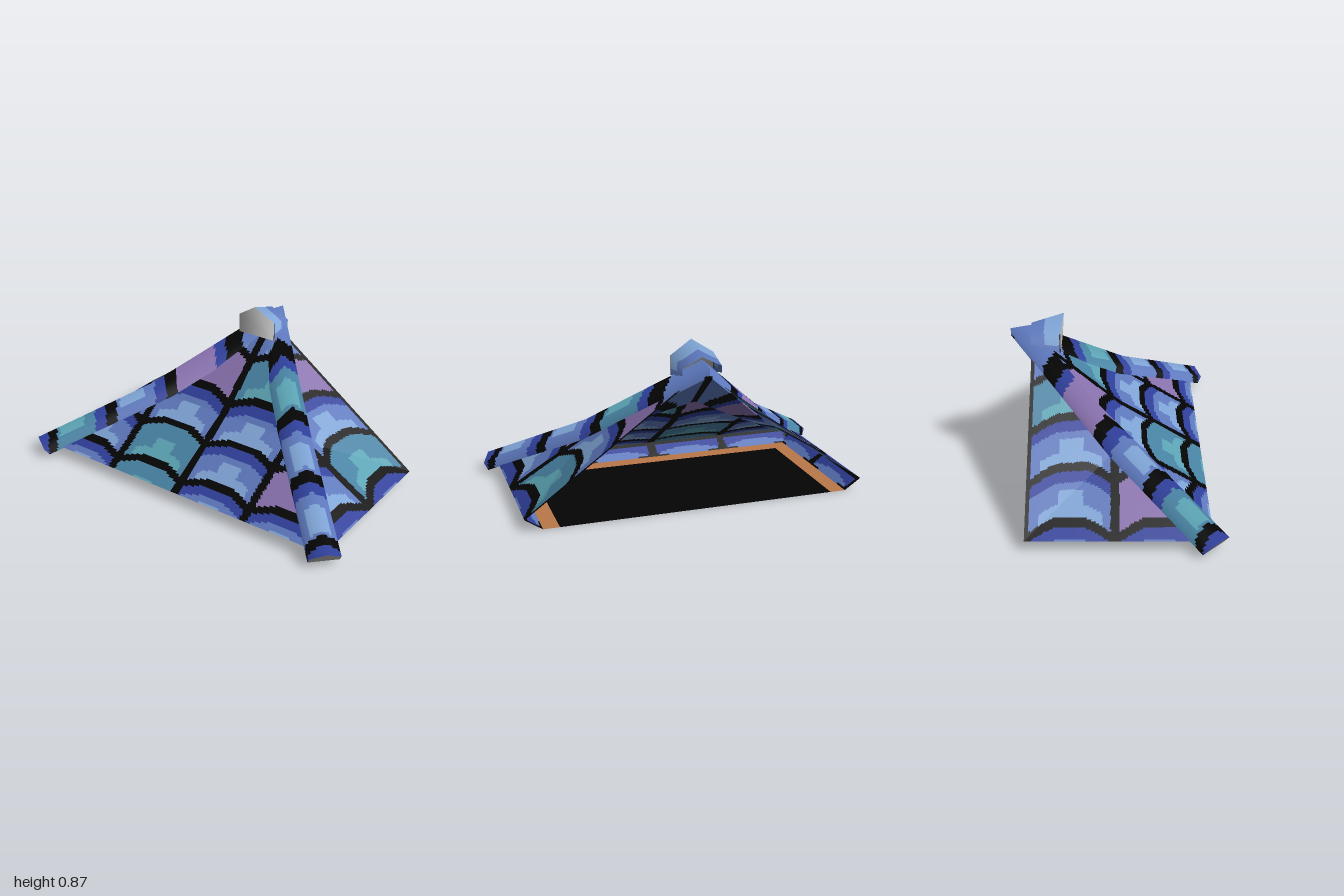
import * as THREE from 'three';

const mat = (name, color) => new THREE.MeshStandardMaterial({ name, color, side: THREE.DoubleSide });
const V = (x, y, z) => new THREE.Vector3(x, y, z);

export function createModel() {
  const M = {
    black: mat('grout black', 0x040405),
    navy: mat('navy glaze', 0x2f3f9a),
    blue: mat('blue glaze', 0x5d78bc),
    lightBlue: mat('light blue glaze', 0x7ea3d4),
    teal: mat('teal glaze', 0x4882a2),
    lightTeal: mat('light teal glaze', 0x5ba3b3),
    purple: mat('purple glaze', 0x8871ad),
    brown: mat('brown timber', 0xbb784a),
    gray: mat('gray mortar', 0xb4b4b4),
  };
  const palette = Object.values(M);
  const glazes = {
    b: [M.navy, M.blue, M.lightBlue],
    t: [M.teal, M.teal, M.lightTeal],
    p: [M.purple, M.purple, M.purple],
  };
  const model = new THREE.Group();
  model.name = 'hipRoofEnd';

  // Painted surface: four-cornered patches cut into small cells, each cell in one flat colour.
  // Corner normals n are optional and give a softly rounded look.
  const blend = ([a, b, c, d], u, v) => a.clone().lerp(b, u).lerp(d.clone().lerp(c, u), v);
  function painted(name, patches, colorAt, parent = model) {
    const bins = palette.map(() => ({ pos: [], nor: [] }));
    for (const { c, n, nu, nv } of patches) {
      for (let i = 0; i < nu; i++) for (let j = 0; j < nv; j++) {
        const uv = [[i, j], [i + 1, j], [i + 1, j + 1], [i, j + 1]].map(([a, b]) => [a / nu, b / nv]);
        const p = uv.map(([u, v]) => blend(c, u, v));
        const bin = bins[palette.indexOf(colorAt(blend(c, (i + 0.5) / nu, (j + 0.5) / nv)))];
        for (let tri of [[0, 1, 2], [0, 2, 3]]) {
          const face = p[tri[1]].clone().sub(p[tri[0]]).cross(p[tri[2]].clone().sub(p[tri[0]]));
          if (face.length() < 1e-9) continue;
          face.normalize();
          if (n && face.dot(n[0]) < 0) tri = [tri[0], tri[2], tri[1]];
          for (const k of tri) {
            bin.pos.push(...p[k].toArray());
            bin.nor.push(...(n ? blend(n, ...uv[k]).normalize() : face).toArray());
          }
        }
      }
    }
    const geo = new THREE.BufferGeometry();
    const used = [];
    let start = 0;
    bins.forEach(({ pos }, k) => {
      if (!pos.length) return;
      geo.addGroup(start, pos.length / 3, used.length);
      used.push(palette[k]);
      start += pos.length / 3;
    });
    geo.setAttribute('position', new THREE.Float32BufferAttribute(bins.flatMap(b => b.pos), 3));
    geo.setAttribute('normal', new THREE.Float32BufferAttribute(bins.flatMap(b => b.nor), 3));
    const mesh = new THREE.Mesh(geo, used);
    mesh.name = name;
    parent.add(mesh);
  }

  // Arched tile pattern: columns along one axis, rows along another; one glaze letter per tile
  const tiles = ({ across, up, start, pitch, rows, firstCol }) => p => {
    const col = p[across] / 0.44, f = col - Math.floor(col), m = Math.abs(f - 0.5);
    const arch = Math.min(1, 1.15 * Math.sin(Math.PI * f));
    if (f < 0.05 || f > 0.95) return M.black;
    if (p.y < 0.06) { // undercut below the eaves
      if (p.y > 0.046 || p.y < 0.012 * (1 - arch)) return M.black;
      return p.y > 0.008 + 0.02 * arch ? M.navy : M.blue;
    }
    const r = (p[up] - start - 0.05 * arch) / pitch;
    const k = Math.floor(r), g = r - k;
    if (g < 0.17) return M.black;
    const row = rows[Math.min(Math.max(k + 1, 0), rows.length - 1)];
    const glaze = glazes[row[Math.floor(col) - firstCol] || 'b'];
    if (g > 0.79) return glaze[0];
    if ((m < 0.14 && g < 0.65) || (g < 0.38 && m < 0.36)) return glaze[2];
    return glaze[1];
  };

  // Roof key points: straight rake at the open side, sagging hip line
  const apex = V(0.44, 0.735, 0);
  const point = (x, y, z) => s => V(x, y, z * s);
  const eaveL = point(-0.48, 0.06, 0.92), eaveR = point(0.44, 0.06, 0.92);
  const sag = point(-0.03, 0.335, 0.47);
  const footL = point(-0.39, 0, 0.83), footR = point(0.44, 0, 0.83);

  // Front and back slopes with their undercut eaves
  for (const [name, s, rows] of [
    ['frontSlope', 1, ['bbb', 'bbt', 'bpb', 'bbp', 'bbb']],
    ['backSlope', -1, ['bbb', 'bpb', 'bbb', 'bbt', 'bbb']],
  ]) {
    const L = eaveL(s), R = eaveR(s), K = sag(s);
    painted(name, [
      { c: [L, R, K, K], nu: 84, nv: 50 },
      { c: [R, apex, K, K], nu: 84, nv: 50 },
      { c: [footL(s), footR(s), R, L], nu: 84, nv: 10 },
    ], tiles({ across: 'x', up: 'y', start: 0.048, pitch: 0.165, rows, firstCol: -2 }));
  }

  // Hip end slope, facing -x
  painted('endSlope', [
    { c: [eaveL(-1), eaveL(1), sag(1), sag(-1)], nu: 140, nv: 44 },
    { c: [sag(-1), sag(1), apex, apex], nu: 80, nv: 50 },
    { c: [footL(-1), footL(1), eaveL(1), eaveL(-1)], nu: 140, nv: 10 },
  ], tiles({
    across: 'z', up: 'x', start: -0.445, pitch: 0.22, firstCol: -3,
    rows: ['bbtbbb', 'bbtbpb', 'bbbbbb', 'bbptbb', 'bbbbbb'],
  }));

  // Hip caps: house-shaped section, mitred on the centre plane
  const ringColor = order => p => {
    const x = (p.x - Math.abs(p.z)) / 2 + 0.22;
    const r = (x + 0.478) / 0.246, k = Math.floor(r), g = r - k;
    if (k < 0) return M.navy;
    if (k > 2) { // last ring, then plain up to the mitre with a dark seam underneath
      const seam = Math.abs(p.z) < 0.02 && p.y < 0.74;
      return seam || (k === 3 && g < 0.24) ? M.black : M.blue;
    }
    if (g < 0.14 || g > 0.96) return M.black;
    const glaze = glazes[order[k]];
    if (g > 0.78) return M.navy;
    return g > 0.2 && g < 0.6 && Math.abs(p.x + Math.abs(p.z) - 0.44) < 0.07 ? glaze[2] : glaze[1];
  };
  const section = (x, y, z, lean, rise) =>
    [[1, 0, 0], [1, lean / 2, rise * 0.5], [0, lean, rise], [-1, lean / 2, rise * 0.5], [-1, 0, 0]]
      .map(([w, out, up]) => V(x + w * 0.057 - out, y + up, z + w * 0.057 + out));
  const mitre = [[0.553, 0.74], [0.553, 0.78], [0.44, 0.8], [0.327, 0.59], [0.327, 0.55]]
    .map(([x, y]) => V(x, y, 0));
  const stations = [section(-0.478, 0.02, 0.92, 0.04, 0.075), section(-0.03, 0.295, 0.47, 0.018, 0.094), mitre];
  const hipNormals = [[0.5, 0.5], [0.4, 0.75], [0, 1], [-0.4, 0.75], [-0.5, 0.5]];
  for (const [name, s, order] of [['frontHip', 1, 'bbt'], ['backHip', -1, 'tbp']]) {
    const hip = new THREE.Group();
    hip.name = name;
    model.add(hip);
    const rings = stations.map(ring => ring.map(p => V(p.x, p.y, p.z * s)));
    const normals = hipNormals.map(([w, up]) => V(w - 0.1, up, (w + 0.1) * s));
    const sides = [];
    for (let i = 0; i < 2; i++) for (let j = 0; j < 5; j++) {
      const k = (j + 1) % 5;
      sides.push({
        c: [rings[i][j], rings[i + 1][j], rings[i + 1][k], rings[i][k]],
        n: j < 4 ? [normals[j], normals[j], normals[k], normals[k]] : undefined,
        nu: 50, nv: 6,
      });
    }
    painted(name + 'Cap', sides, ringColor(order), hip);
    endCap(name + 'End', rings[0], hip);
  }

  // Flat mortar face closing a five-sided end
  function endCap(name, ring, parent, normalAt) {
    const pts = [1, 2, 3].flatMap(i => [ring[0], ring[i], ring[i + 1]]);
    const geo = new THREE.BufferGeometry().setFromPoints(pts);
    geo.computeVertexNormals();
    if (normalAt) {
      geo.setAttribute('normal', new THREE.Float32BufferAttribute(
        pts.flatMap(p => normalAt(p).normalize().toArray()), 3));
    }
    const mesh = new THREE.Mesh(geo, M.gray);
    mesh.name = name;
    parent.add(mesh);
  }

  // Ridge end tile on the peak: open at +x, flared and closed at -x
  const ridge = new THREE.Group();
  ridge.name = 'ridgeEnd';
  model.add(ridge);
  const house = (x, tipX, half, y0, y1, y2) =>
    [V(x, y0, half), V(x, y1, half), V(tipX, y2, 0), V(x, y1, -half), V(x, y0, -half)];
  const flare = house(0.283, 0.268, 0.115, 0.69, 0.795, 0.868);
  const mouth = house(0.44, 0.44, 0.105, 0.725, 0.76, 0.812);
  const ridgeNormals = [V(0, 0.5, 0.8), V(0, 0.75, 0.65), V(0, 1, 0), V(0, 0.75, -0.65), V(0, 0.5, -0.8)];
  painted('ridgeTile', [0, 1, 2, 3].map(j => ({
    c: [flare[j], mouth[j], mouth[j + 1], flare[j + 1]],
    n: [ridgeNormals[j], ridgeNormals[j], ridgeNormals[j + 1], ridgeNormals[j + 1]],
    nu: 24, nv: 12,
  })), p => {
    if (p.x < 0.29 && p.y < 0.79) return M.black;
    return p.x < 0.37 && p.y > 0.73 ? M.lightBlue : M.blue;
  }, ridge);
  endCap('ridgeFace', flare, ridge, p => V(-0.7, 0.5, p.z * 6));

  // Underside: timber border on three sides around a dark panel
  const flat = (name, pts, material) => {
    const shape = new THREE.Shape(pts.map(([x, z]) => new THREE.Vector2(x, z)));
    const mesh = new THREE.Mesh(new THREE.ShapeGeometry(shape).rotateX(Math.PI / 2), material);
    mesh.name = name;
    model.add(mesh);
  };
  const inner = [[0.44, -0.745], [-0.305, -0.745], [-0.305, 0.745], [0.44, 0.745]];
  flat('soffitBorder', [[0.44, 0.83], [-0.39, 0.83], [-0.39, -0.83], [0.44, -0.83], ...inner], M.brown);
  flat('floorPanel', inner, M.black);

  return model;
}
